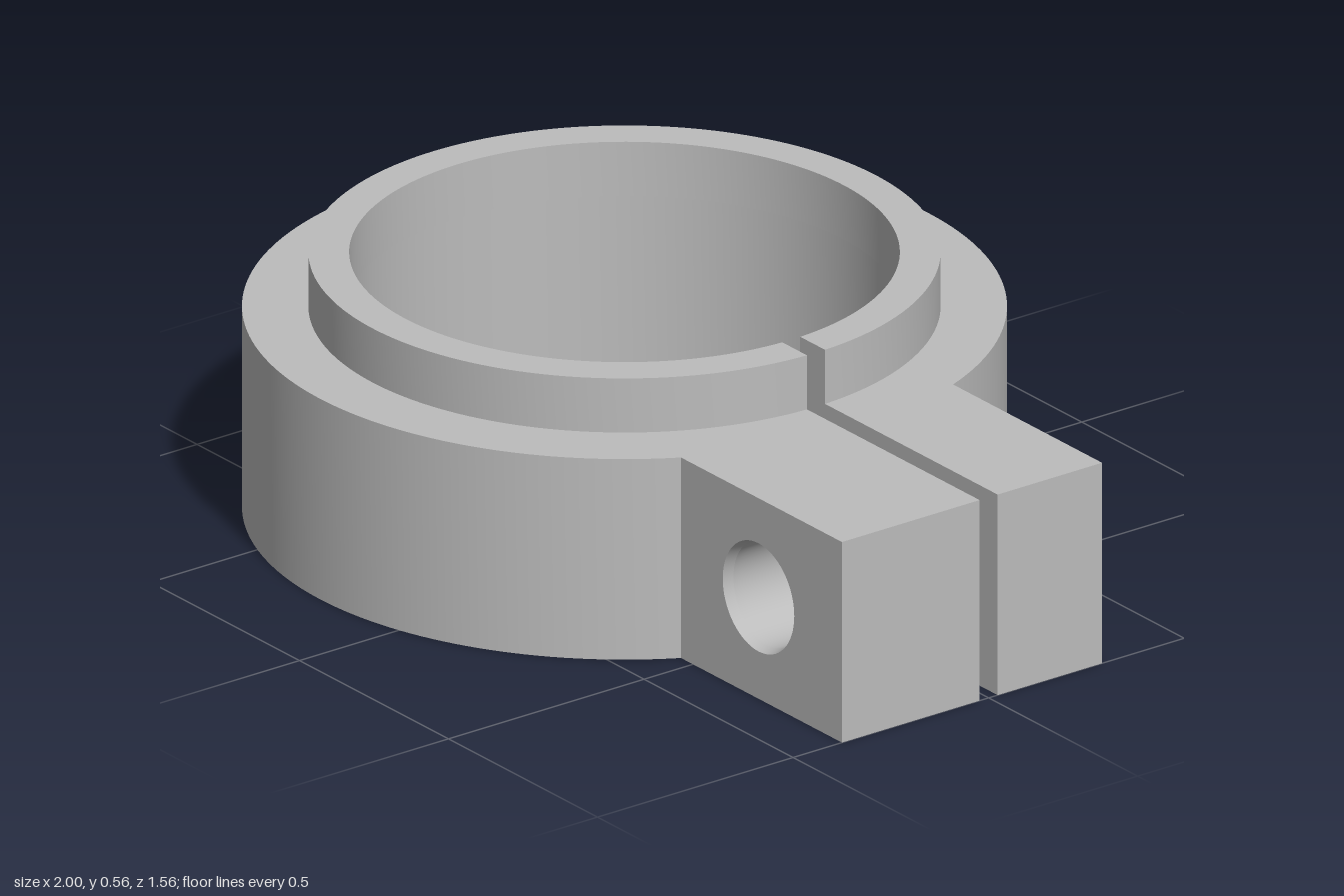
import * as THREE from 'three';
import { toCreasedNormals } from 'three/addons/utils/BufferGeometryUtils.js';

const CX = -0.222;               // ring axis
const BORE = 0.56, COLLAR = 0.643, OUTER = 0.778;
const SLIT = 0.023;              // half width of the clamping slit
const BODY_H = 0.445, TOP = 0.565;
const FRONT = 0.375, BACK = 0.29; // outer faces of the two lugs
const ROOT = 0.55, END = 1;      // lug root and lug end along x
const HOLE_X = 0.72, HOLE_Y = 0.225;

const steel = new THREE.MeshStandardMaterial({ color: 0xbcbcbc });
steel.name = 'grey steel';

function addMesh(group, name, geometry) {
  const mesh = new THREE.Mesh(toCreasedNormals(geometry, 0.25), steel);
  mesh.name = name;
  group.add(mesh);
}

// Split ring in plan (shape y is -z); the root corners, if any, join its two ends
function splitRing(outer, frontHalf, backHalf, rootX) {
  const s = new THREE.Shape();
  const a = Math.asin(backHalf / outer), b = Math.asin(frontHalf / outer), c = Math.asin(SLIT / BORE);
  s.absarc(CX, 0, outer, a, Math.PI * 2 - b, false);
  if (rootX) {
    s.lineTo(rootX, -frontHalf);
    s.lineTo(rootX, -SLIT);
  }
  s.absarc(CX, 0, BORE, Math.PI * 2 - c, c, true);
  if (rootX) {
    s.lineTo(rootX, SLIT);
    s.lineTo(rootX, backHalf);
  }
  s.closePath();
  return s;
}

function upright(shape, y0, y1) {
  const g = new THREE.ExtrudeGeometry(shape, { depth: y1 - y0, bevelEnabled: false, curveSegments: 80 });
  return g.rotateX(-Math.PI / 2).translate(0, y0, 0);
}

// Lug block with a screw hole running along z; mouth widens the hole at its front edge
function lug(z0, z1, radius, mouth) {
  const s = new THREE.Shape();
  s.moveTo(ROOT, 0).lineTo(END, 0).lineTo(END, BODY_H).lineTo(ROOT, BODY_H).closePath();
  const hole = new THREE.Path();
  hole.absarc(HOLE_X, HOLE_Y, radius, 0, Math.PI * 2, true);
  s.holes.push(hole);
  const depth = z1 - z0;
  const g = new THREE.ExtrudeGeometry(s, { depth, steps: mouth ? 16 : 1, bevelEnabled: false, curveSegments: 32 });
  const p = g.attributes.position;
  for (let i = 0; mouth && i < p.count; i++) {
    const dx = p.getX(i) - HOLE_X, dy = p.getY(i) - HOLE_Y;
    if (p.getZ(i) > depth - 0.001 && Math.hypot(dx, dy) < radius + 0.002) {
      p.setXY(i, HOLE_X + dx * mouth / radius, HOLE_Y + dy * mouth / radius);
    }
  }
  return g.translate(0, 0, z0);
}

export function createModel() {
  const group = new THREE.Group();
  group.name = 'splitClampCollar';
  addMesh(group, 'clampRing', upright(splitRing(OUTER, FRONT, BACK, ROOT), 0, BODY_H));
  addMesh(group, 'raisedCollar', upright(splitRing(COLLAR, SLIT, SLIT), BODY_H, TOP));
  addMesh(group, 'frontLug', lug(SLIT, FRONT, 0.113, 0.12));
  addMesh(group, 'backLug', lug(-BACK, -SLIT, 0.08));
  return group;
}
